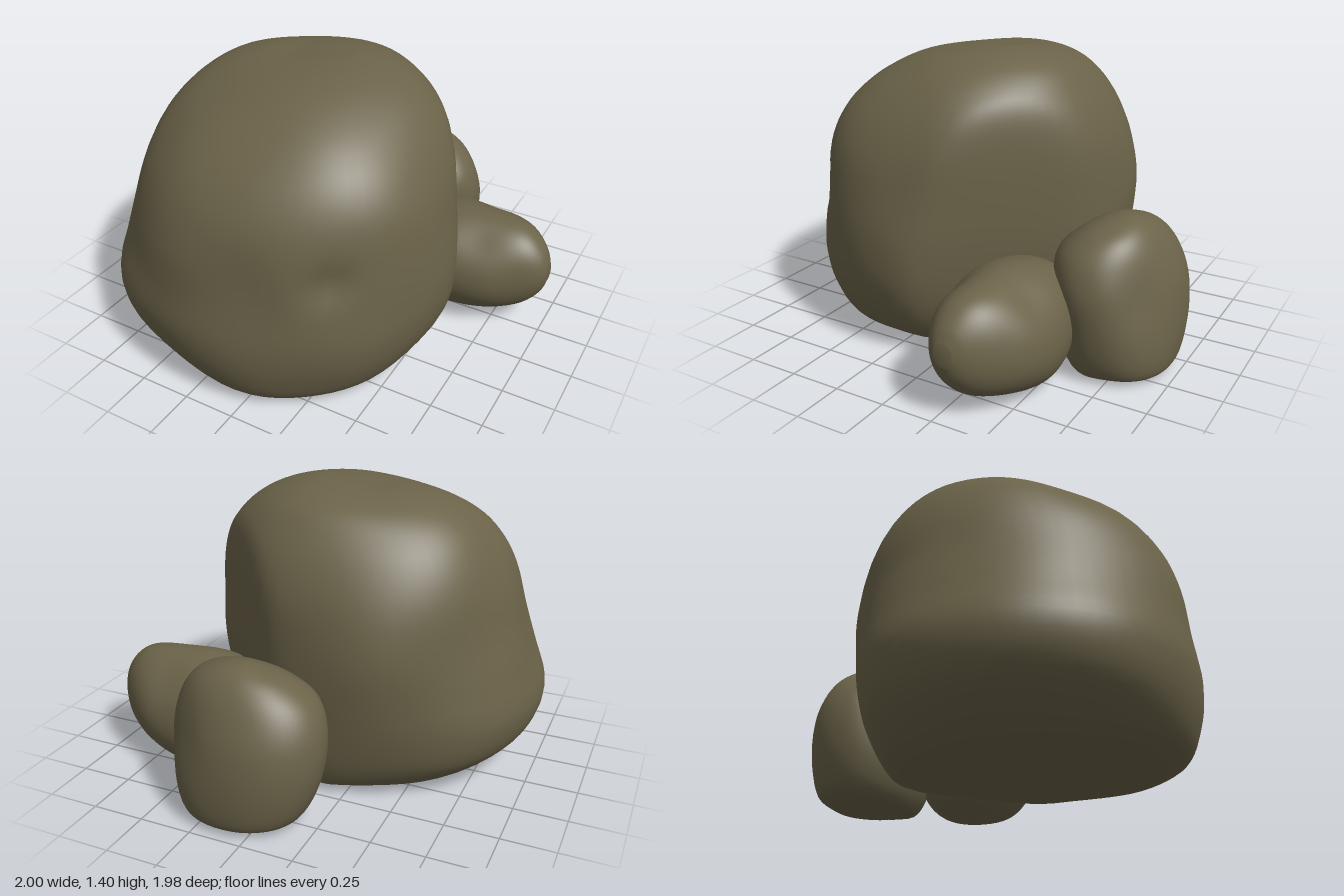
import * as THREE from 'three';

const SEGMENTS = 64;
const STEPS = 5; // interpolated rings between two profile rows

// Smooth stone lofted through rows of [level, u0, u1, v0, v1].
// toPoint places (level, u, v) in space; marks are [x, y, z, radius, push];
// carve may adjust each finished point.
function stoneGeometry(rows, toPoint, { power = 2.1, marks = [], carve = () => {} }) {
  const low = new THREE.CatmullRomCurve3(rows.map(r => new THREE.Vector3(r[0], r[1], r[3])));
  const high = new THREE.CatmullRomCurve3(rows.map(r => new THREE.Vector3(r[0], r[2], r[4])));
  const rings = (rows.length - 1) * STEPS;
  const points = [];
  for (let i = 0; i <= rings; i++) {
    const a = low.getPoint(i / rings), b = high.getPoint(i / rings);
    for (let j = 0; j < SEGMENTS; j++) {
      const t = (j / SEGMENTS) * Math.PI * 2, c = Math.cos(t), s = Math.sin(t);
      const u = Math.sign(c) * Math.abs(c) ** (2 / power);
      const v = Math.sign(s) * Math.abs(s) ** (2 / power);
      points.push(toPoint((a.x + b.x) / 2,
        (a.y + b.y) / 2 + u * (b.y - a.y) / 2,
        (a.z + b.z) / 2 + v * (b.z - a.z) / 2));
    }
  }
  const average = list => list.reduce((sum, p) => sum.add(p), new THREE.Vector3()).divideScalar(list.length);
  const first = points.length, last = first + 1;
  points.push(average(points.slice(0, SEGMENTS)), average(points.slice(first - SEGMENTS, first)));

  // Weathering: gentle lumps plus local dents and bulges
  const middle = average(points);
  for (const p of points) {
    const base = p.clone();
    const out = base.clone().sub(middle).normalize();
    let push = 0.008 * (Math.sin(7 * base.x + 4 * base.y + 1) + Math.sin(8 * base.z - 6 * base.y) * Math.cos(6 * base.x));
    for (const [x, y, z, radius, amount] of marks) {
      push += amount * Math.exp(-base.distanceToSquared(new THREE.Vector3(x, y, z)) / radius ** 2);
    }
    p.addScaledVector(out, push);
    carve(p);
    p.y = Math.max(p.y, 0.005);
  }

  const index = [];
  for (let j = 0; j < SEGMENTS; j++) {
    const k = (j + 1) % SEGMENTS, top = rings * SEGMENTS;
    index.push(first, j, k, last, top + k, top + j);
    for (let i = 0; i < rings; i++) {
      const a = i * SEGMENTS + j, b = i * SEGMENTS + k;
      index.push(a, a + SEGMENTS, b, b, a + SEGMENTS, b + SEGMENTS);
    }
  }
  const geometry = new THREE.BufferGeometry().setFromPoints(points);
  geometry.setIndex(index);
  geometry.computeVertexNormals();
  return geometry;
}

const upright = (y, x, z) => new THREE.Vector3(x, y, z);
const sideways = (x, z, y) => new THREE.Vector3(x, y, z);

// Soft flattening of the boulder's back left corner, tucked in near the ground
function flattenCorner(p) {
  const limit = 0.40 - 0.23 * Math.exp(-p.y / 0.22);
  const excess = (p.x - p.z) * Math.SQRT1_2 - limit;
  if (excess > 0) {
    const kept = 0.07 * (1 - Math.exp(-excess / 0.07));
    const shift = (excess - kept) * Math.SQRT1_2;
    p.x -= shift;
    p.z += shift;
  }
}

export function createModel() {
  const group = new THREE.Group();
  const stone = new THREE.MeshStandardMaterial({ color: 0x6b6349 });
  stone.name = 'olive stone';

  const add = (name, geometry) => {
    const mesh = new THREE.Mesh(geometry, stone);
    mesh.name = name;
    group.add(mesh);
  };

  // Large boulder: wide base, domed top, one corner flattened
  add('boulder', stoneGeometry([
    [0.02, -0.62, 0.44, -0.40, 0.79],
    [0.05, -0.74, 0.52, -0.46, 0.88],
    [0.18, -0.93, 0.61, -0.51, 0.95],
    [0.35, -0.99, 0.66, -0.54, 0.98],
    [0.55, -0.95, 0.67, -0.56, 0.96],
    [0.75, -0.90, 0.65, -0.56, 0.94],
    [0.95, -0.85, 0.62, -0.54, 0.88],
    [1.10, -0.78, 0.56, -0.49, 0.79],
    [1.22, -0.68, 0.47, -0.42, 0.66],
    [1.31, -0.54, 0.35, -0.34, 0.48],
    [1.37, -0.36, 0.21, -0.22, 0.28],
    [1.40, -0.16, 0.08, -0.09, 0.10],
  ], upright, {
    marks: [
      [0.38, 0.70, 0.77, 0.10, -0.04],   // front dent
      [0.05, 0.70, 0.95, 0.14, -0.015],  // front hollow
      [-0.55, 1.12, 0.60, 0.24, -0.045], // upper front slope
      [-0.75, 0.38, 0.72, 0.25, 0.025],  // lower front bulge
      [-0.40, 0.75, -0.55, 0.20, 0.02],  // back bulge
      [-0.20, 1.40, 0.02, 0.10, -0.01],  // crown notch
    ],
    carve: flattenCorner,
  }));

  // Tall small stone leaning on the back
  add('backStone', stoneGeometry([
    [0.01, -0.08, 0.32, -0.92, -0.58],
    [0.05, -0.17, 0.39, -0.97, -0.53],
    [0.22, -0.25, 0.45, -0.99, -0.46],
    [0.42, -0.27, 0.47, -0.97, -0.41],
    [0.56, -0.22, 0.43, -0.92, -0.42],
    [0.66, -0.10, 0.35, -0.86, -0.52],
    [0.71, 0.02, 0.25, -0.80, -0.61],
    [0.73, 0.09, 0.17, -0.74, -0.68],
  ], upright, {
    power: 2.2,
    marks: [
      [-0.15, 0.40, -0.45, 0.20, -0.06], // inner side
      [0.42, 0.40, -0.95, 0.20, -0.04],  // outer corner
      [0.38, 0.08, -0.55, 0.18, 0.05],   // heavy foot
    ],
  }));

  // Long small stone reaching out to the side
  add('sideStone', stoneGeometry([
    [0.20, -0.48, -0.25, 0.13, 0.40],
    [0.27, -0.58, -0.14, 0.05, 0.50],
    [0.43, -0.62, -0.07, 0.02, 0.55],
    [0.60, -0.62, -0.07, 0.02, 0.57],
    [0.75, -0.59, -0.10, 0.05, 0.56],
    [0.88, -0.50, -0.17, 0.11, 0.52],
    [0.96, -0.41, -0.23, 0.20, 0.44],
    [0.99, -0.35, -0.27, 0.28, 0.37],
  ], sideways, {
    marks: [
      [0.65, 0.50, -0.54, 0.20, -0.05], // sloping upper back
      [0.70, 0.52, -0.12, 0.18, -0.04], // sloping upper front
      [0.55, 0.06, -0.56, 0.18, 0.05],  // heavy lower back
    ],
  }));

  return group;
}
